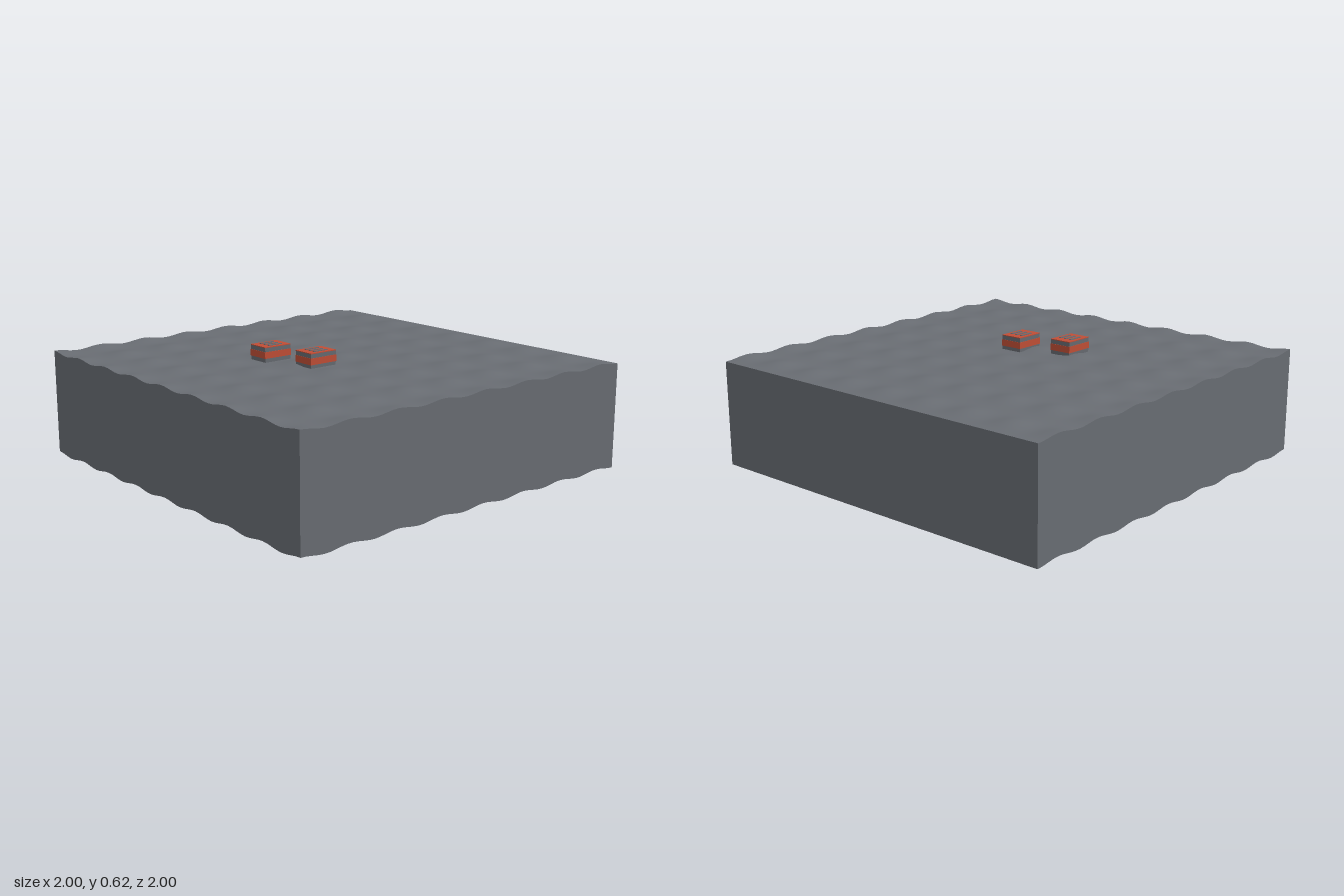
import * as THREE from 'three';

const WALL = 0.533; // height of the block's sides
const SWELL = 0.014; // height of the ripples
const SEG = 64;

// Rippled height: crests along three edges, level along the back edge.
const ripple = (x, z) => {
  const fx = 0.5 + 0.5 * Math.cos(2 * Math.PI * (x + 1) / 0.25);
  const fz = 0.5 - 0.5 * Math.cos(2 * Math.PI * (z + 1) * 7.5 / 2);
  return SWELL * fx * fz;
};

export function createModel() {
  const slate = new THREE.MeshStandardMaterial({ color: 0x696d73, side: THREE.DoubleSide });
  slate.name = 'slate grey';
  const rust = new THREE.MeshStandardMaterial({ color: 0xc04e36 });
  rust.name = 'rust orange';
  const grey = new THREE.MeshStandardMaterial({ color: 0x666a70 });
  grey.name = 'crate grey';

  const model = new THREE.Group();
  model.name = 'rippledBlockWithCrates';

  const addSheet = (name, geometry) => {
    const p = geometry.attributes.position;
    for (let i = 0; i < p.count; i++) p.setY(i, p.getY(i) + ripple(p.getX(i), p.getZ(i)));
    geometry.computeVertexNormals();
    const mesh = new THREE.Mesh(geometry, slate);
    mesh.name = name;
    model.add(mesh);
  };

  // Rippled top surface
  addSheet('topSurface', new THREE.PlaneGeometry(2, 2, SEG, SEG).rotateX(-Math.PI / 2).translate(0, WALL, 0));

  // Four sides, open underneath, whose upper and lower edges follow the ripples
  ['frontWall', 'leftWall', 'backWall', 'rightWall'].forEach((name, i) => {
    addSheet(name, new THREE.PlaneGeometry(2, WALL, SEG, 1)
      .translate(0, WALL / 2, 1).rotateY(i * Math.PI / 2));
  });

  // Small crate: grey body, orange band and lid, three grey slats on the lid
  const addCrate = (name, x, z, top) => {
    const crate = new THREE.Group();
    crate.name = name;
    const box = (part, material, w, h, d, px, py) => {
      const mesh = new THREE.Mesh(new THREE.BoxGeometry(w, h, d), material);
      mesh.name = part;
      mesh.position.set(px, py, 0);
      crate.add(mesh);
    };
    const bottom = 0.536, lidTop = top - 0.003;
    box('body', grey, 0.116, lidTop - 0.004 - bottom, 0.156, 0, (lidTop - 0.004 + bottom) / 2);
    box('band', rust, 0.12, 0.033, 0.16, 0, top - 0.044);
    box('lid', rust, 0.118, 0.004, 0.158, 0, lidTop - 0.002);
    for (const sx of [-0.032, 0, 0.032]) box('slat', grey, 0.014, 0.005, 0.08, sx, top - 0.0025);
    crate.position.set(x, 0, z);
    model.add(crate);
  };
  addCrate('rightCrate', -0.17, 0.247, 0.616);
  addCrate('leftCrate', 0.081, 0.163, 0.614);

  return model;
}
